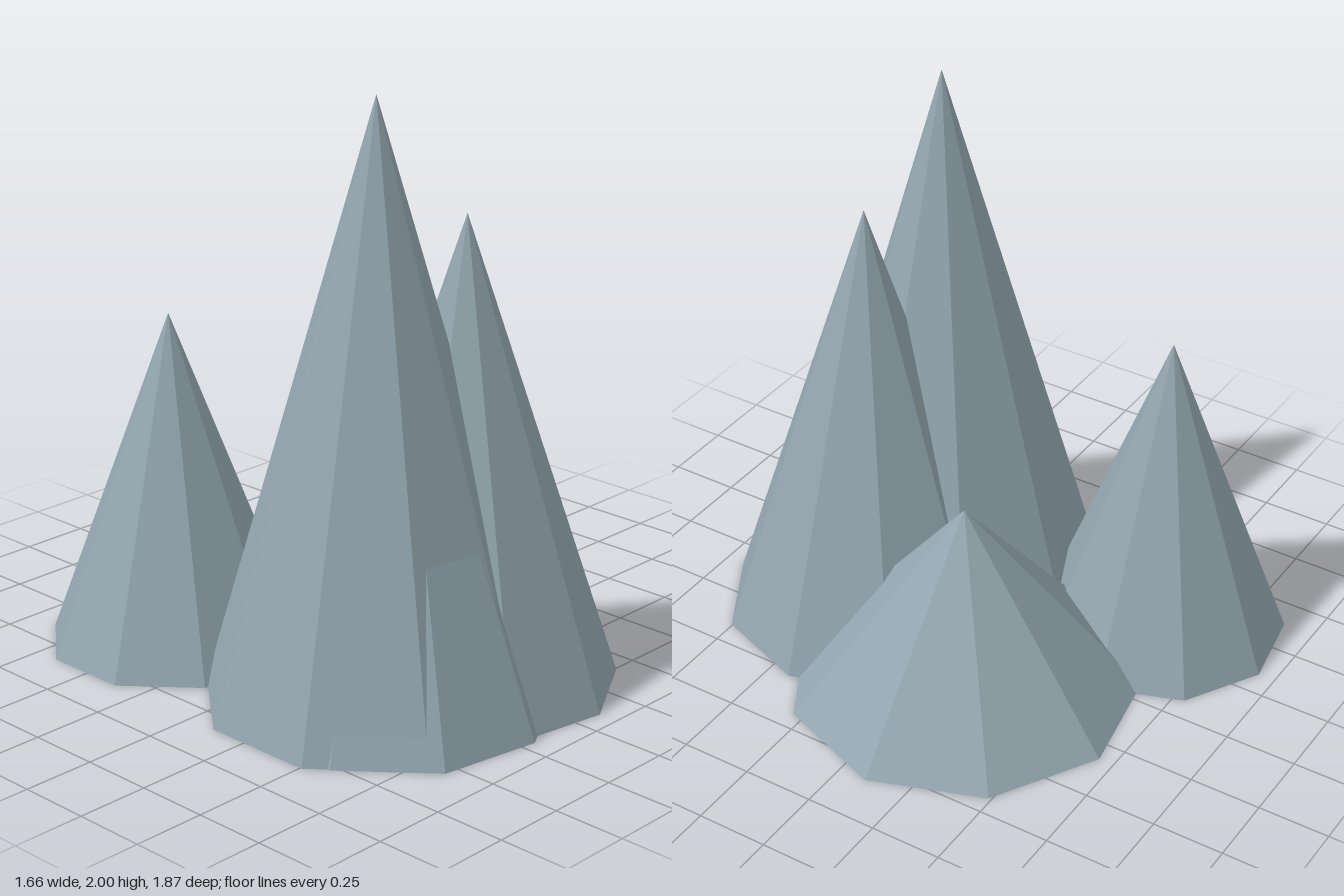
import * as THREE from 'three';

export function createModel() {
  const model = new THREE.Group();
  model.name = 'rockSpires';

  const stone = new THREE.MeshStandardMaterial({ color: 0x92a5ae, flatShading: true });
  stone.name = 'blue grey stone';

  // Nine-sided closed cone standing on the ground, with one corner facing +x
  function addSpire(name, x, z, radius, height) {
    const geometry = new THREE.ConeGeometry(radius, height, 9, 1, false, Math.PI / 2);
    geometry.translate(0, height / 2, 0);
    const spire = new THREE.Mesh(geometry, stone);
    spire.name = name;
    spire.position.set(x, 0, z);
    model.add(spire);
  }

  addSpire('tallSpire', -0.29, 0.31, 0.575, 2.0);
  addSpire('innerSpire', -0.29, 0.40, 0.52, 1.47); // mostly buried in the tall spire
  addSpire('frontSpire', 0.01, 0.42, 0.52, 1.59);
  addSpire('backSpire', -0.42, -0.51, 0.436, 1.16);
  addSpire('lowMound', 0.22, -0.10, 0.605, 0.72);

  return model;
}
